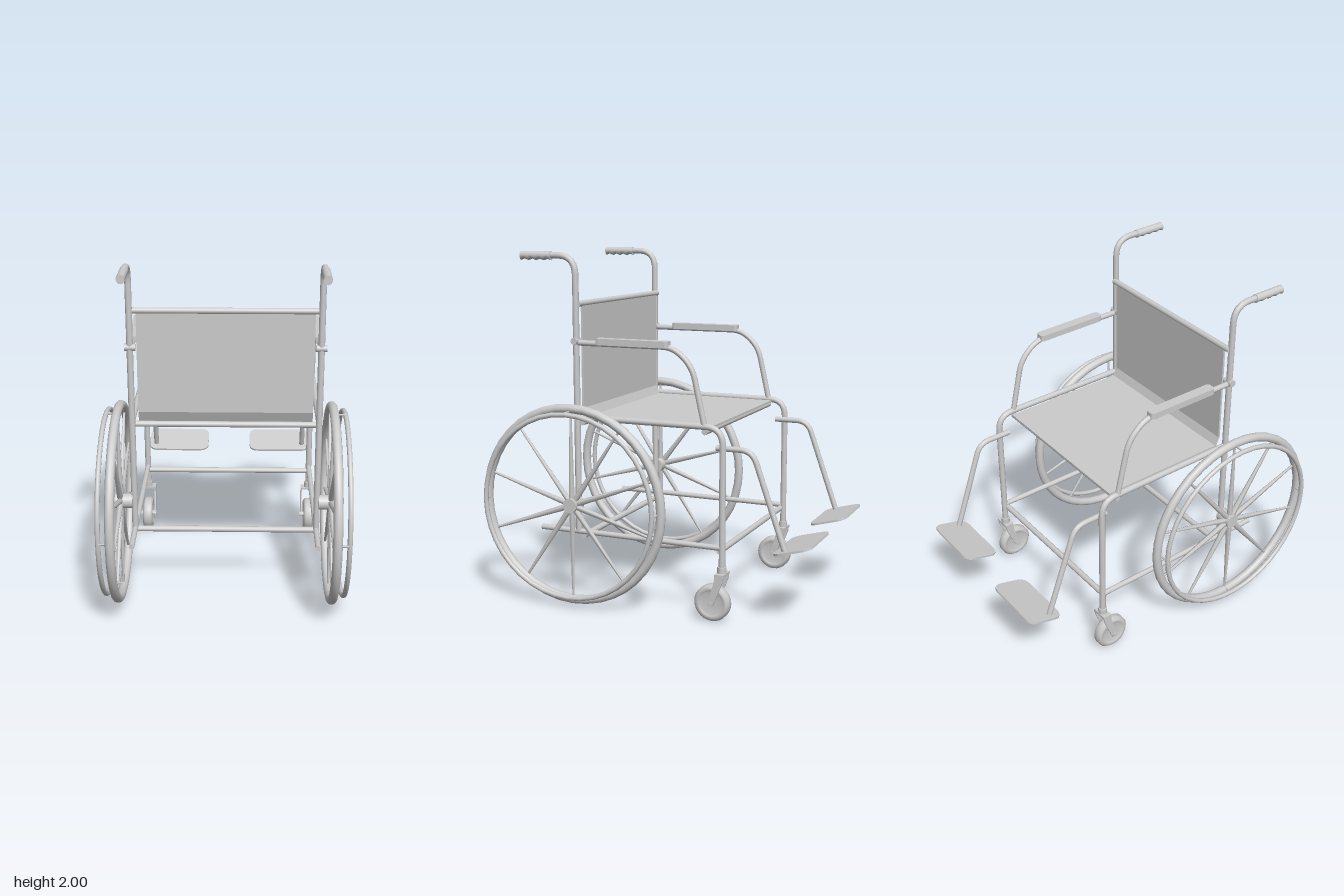
import * as THREE from 'three';

const grey = new THREE.MeshStandardMaterial({ color: 0xcccccc, side: THREE.DoubleSide });
const V = (x, y, z) => new THREE.Vector3(x, y, z);
const R = 0.018; // frame tube radius

function add(parent, name, geometry, x = 0, y = 0, z = 0) {
  const mesh = new THREE.Mesh(geometry, grey);
  mesh.name = name;
  mesh.position.set(x, y, z);
  parent.add(mesh);
  return mesh;
}

// Cylinder between two points, optionally tapered
function rod(parent, name, a, b, r0 = R, r1 = r0, sides = 12) {
  const dir = b.clone().sub(a);
  const mesh = add(parent, name, new THREE.CylinderGeometry(r1, r0, dir.length(), sides));
  mesh.position.copy(a).add(b).multiplyScalar(0.5);
  mesh.quaternion.setFromUnitVectors(V(0, 1, 0), dir.normalize());
  return mesh;
}

// Bent tube in a plane of constant x, through [z, y] points with rounded corners
function bentTube(parent, name, x, points, bend, radius = R) {
  const pts = points.map(([z, y]) => V(x, y, z));
  const path = new THREE.CurvePath();
  let from = pts[0];
  for (let i = 1; i < pts.length - 1; i++) {
    const p = pts[i];
    const toward = q => p.clone().add(q.clone().sub(p).setLength(Math.min(bend, p.distanceTo(q) * 0.48)));
    const enter = toward(pts[i - 1]), leave = toward(pts[i + 1]);
    path.add(new THREE.LineCurve3(from, enter));
    path.add(new THREE.QuadraticBezierCurve3(enter, p, leave));
    from = leave;
  }
  path.add(new THREE.LineCurve3(from, pts[pts.length - 1]));
  add(parent, name, new THREE.TubeGeometry(path, 60, radius, 12, false));
  for (const t of [0, 1]) {
    const cap = add(parent, name + 'Cap', new THREE.CircleGeometry(radius, 12));
    cap.position.copy(path.getPointAt(t));
    cap.quaternion.setFromUnitVectors(V(0, 0, 1), path.getTangentAt(t).multiplyScalar(t ? 1 : -1));
  }
}

// Rounded rectangle extruded upward, centred on its own origin
function roundedPlate(w, d, h, r) {
  const s = new THREE.Shape();
  const x = w / 2, y = d / 2;
  s.moveTo(-x + r, -y);
  s.lineTo(x - r, -y).quadraticCurveTo(x, -y, x, -y + r);
  s.lineTo(x, y - r).quadraticCurveTo(x, y, x - r, y);
  s.lineTo(-x + r, y).quadraticCurveTo(-x, y, -x, y - r);
  s.lineTo(-x, -y + r).quadraticCurveTo(-x, -y, -x + r, -y);
  const g = new THREE.ExtrudeGeometry(s, { depth: h, bevelEnabled: false, curveSegments: 5 });
  return g.translate(0, 0, -h / 2).rotateX(-Math.PI / 2);
}

// Large wheel: tyre, hub, tapered spokes and outer push rim
function driveWheel(s) {
  const g = new THREE.Group();
  g.name = 'driveWheel';
  g.position.set(s * 0.6, 0.59, 0.4);
  add(g, 'tyre', new THREE.TorusGeometry(0.551, 0.026, 12, 40).rotateY(Math.PI / 2));
  rod(g, 'hub', V(-s * 0.07, 0, 0), V(s * 0.03, 0, 0), 0.042, 0.042, 20);
  for (let i = 0; i < 10; i++) {
    const a = (i * Math.PI) / 5 + (i % 5 ? s * 0.035 : 0);
    const at = r => V(0, Math.cos(a) * r, Math.sin(a) * r);
    rod(g, 'spoke', at(0.025), at(0.535), 0.018, 0.007, 6);
  }
  add(g, 'pushRim', new THREE.TorusGeometry(0.526, 0.014, 10, 40).rotateY(Math.PI / 2), s * 0.066);
  for (let i = 0; i < 4; i++) {
    const y = Math.cos(i * Math.PI / 2) * 0.535, z = Math.sin(i * Math.PI / 2) * 0.535;
    rod(g, 'rimBracket', V(0, y, z), V(s * 0.066, y, z), 0.006, 0.006, 6);
  }
  return g;
}

// Small swivel wheel with a raked fork
function caster(s) {
  const g = new THREE.Group();
  g.name = 'caster';
  g.position.set(s * 0.52, 0, 0);
  const profile = [[0.015, -0.02], [0.065, -0.02], [0.072, -0.03], [0.09, -0.03], [0.103, -0.016],
    [0.103, 0.016], [0.09, 0.03], [0.072, 0.03], [0.065, 0.02], [0.015, 0.02]];
  const wheel = new THREE.LatheGeometry(profile.map(p => new THREE.Vector2(...p)), 28);
  add(g, 'casterWheel', wheel.rotateZ(Math.PI / 2), 0, 0.108, -0.425);
  rod(g, 'axle', V(-0.053, 0.108, -0.425), V(0.053, 0.108, -0.425), 0.015);
  rod(g, 'swivel', V(0, 0.27, -0.478), V(0, 0.315, -0.478), 0.026);
  add(g, 'forkCrown', new THREE.BoxGeometry(0.096, 0.014, 0.054), 0, 0.275, -0.478);
  const arm = new THREE.Shape([[0.505, 0.28], [0.45, 0.28], [0.452, 0.25], [0.408, 0.1],
    [0.44, 0.095], [0.498, 0.24]].map(p => new THREE.Vector2(...p)));
  for (const x of [-0.044, 0.044]) {
    const blade = new THREE.ExtrudeGeometry(arm, { depth: 0.008, bevelEnabled: false });
    add(g, 'forkArm', blade.rotateY(Math.PI / 2), x - 0.004);
  }
  return g;
}

// Contoured hand grip with finger grooves on its underside
function grip(x) {
  const g = new THREE.CylinderGeometry(0.023, 0.023, 0.19, 16, 24).rotateX(Math.PI / 2);
  const p = g.attributes.position;
  for (let i = 0; i < p.count; i++) {
    if (p.getY(i) < 0) p.setY(i, p.getY(i) * (1 + 0.18 * Math.cos(p.getZ(i) * 130)));
  }
  g.computeVertexNormals();
  return g.translate(x, 1.978, 0.645);
}

function side(s) {
  const g = new THREE.Group();
  g.name = s > 0 ? 'leftSide' : 'rightSide';
  const x = s * 0.52;
  // Side frame
  bentTube(g, 'backPost', x, [[0.4, 0.42], [0.4, 1.98], [0.73, 1.978]], 0.11);
  add(g, 'handGrip', grip(x));
  bentTube(g, 'seatRailAndFrontPost', x, [[0.4, 1.082], [-0.478, 1.082], [-0.478, 0.3]], 0.1);
  bentTube(g, 'lowerRail', x, [[0.64, 0.42], [0.1, 0.42], [-0.478, 0.42]], 0.05, 0.016);
  // Armrest
  bentTube(g, 'armTube', x, [[0.4, 1.5], [-0.19, 1.5], [-0.3, 1.4], [-0.37, 1.09]], 0.07, 0.016);
  add(g, 'armPad', roundedPlate(0.06, 0.437, 0.036, 0.02), x, 1.513, 0.053);
  rod(g, 'armClamp', V(s * 0.49, 1.51, 0.4), V(s * 0.55, 1.51, 0.4), 0.02);
  // Footrest
  bentTube(g, 'footTube', s * 0.49, [[-0.43, 0.965], [-0.635, 0.965], [-0.825, 0.43]], 0.07, 0.016);
  const plate = add(g, 'footPlate', roundedPlate(0.394, 0.222, 0.012, 0.06), s * 0.336, 0.443, -0.868);
  plate.rotation.x = 0.27;
  // Wheels
  g.add(driveWheel(s), caster(s));
  return g;
}

export function createModel() {
  const model = new THREE.Group();
  model.name = 'wheelchair';
  for (const s of [1, -1]) model.add(side(s));

  // Cross tubes: [name, half width, y, z]
  for (const [name, w, y, z] of [
    ['backTopBar', 0.52, 1.715, 0.388], ['seatRearBar', 0.52, 1.052, 0.368],
    ['seatFrontBar', 0.52, 1.052, -0.372], ['lowerRearBar', 0.52, 0.398, 0.368],
    ['lowerFrontBar', 0.52, 0.4, -0.462]]) {
    rod(model, name, V(-w, y, z), V(w, y, z), 0.017);
  }

  // Fabric seat and backrest, the backrest tucked forward at its foot
  add(model, 'seat', new THREE.BoxGeometry(0.97, 0.012, 0.76), 0, 1.074, -0.022);
  const section = new THREE.Shape([[-0.376, 1.72], [-0.388, 1.72], [-0.388, 1.13], [-0.36, 1.065],
    [-0.348, 1.065], [-0.376, 1.13]].map(p => new THREE.Vector2(...p)));
  const back = new THREE.ExtrudeGeometry(section, { depth: 0.97, bevelEnabled: false });
  add(model, 'backrest', back.rotateY(Math.PI / 2), -0.485);
  return model;
}
